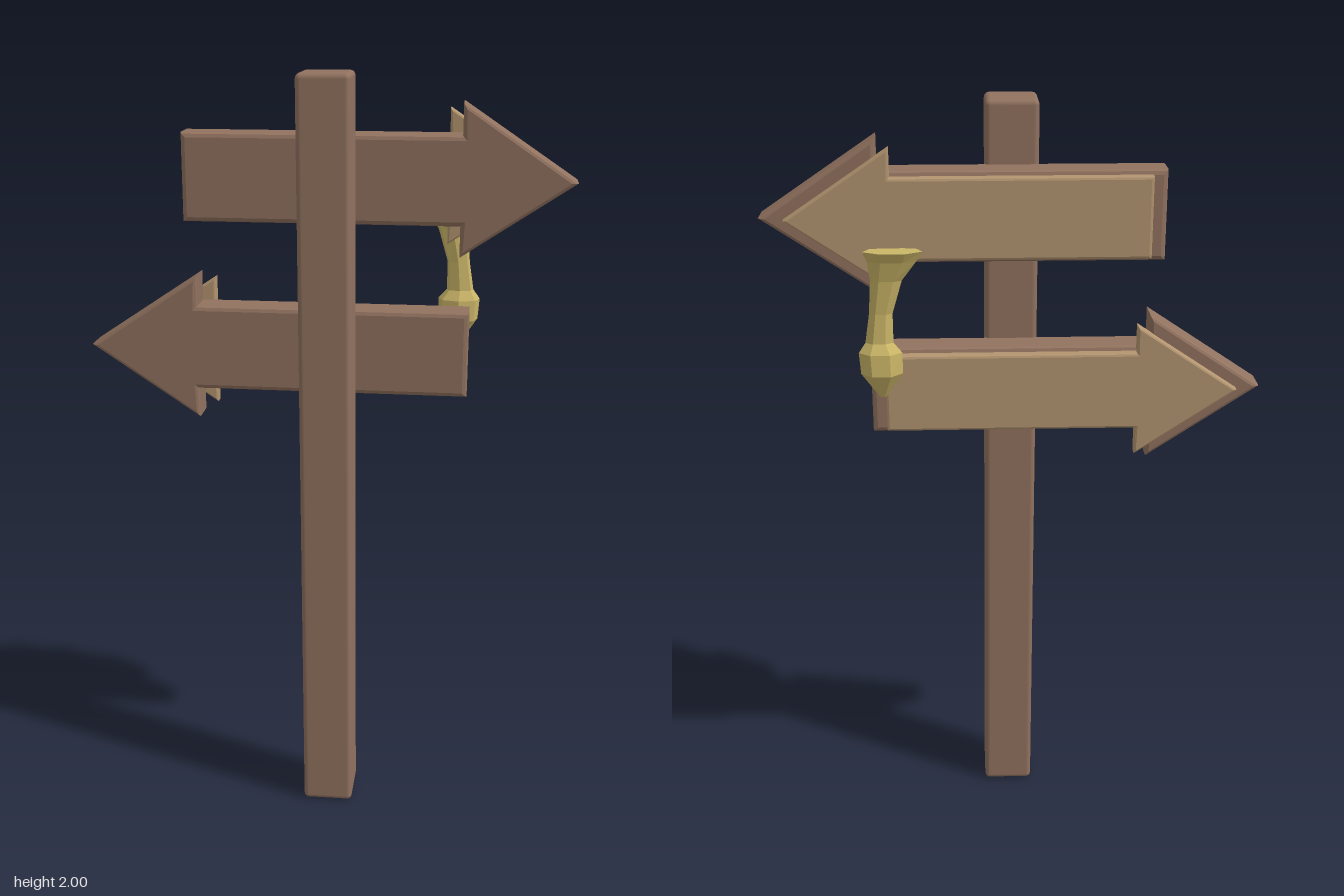
import * as THREE from 'three';
import { RoundedBoxGeometry } from 'three/addons/geometries/RoundedBoxGeometry.js';

const material = (name, color) => {
  const m = new THREE.MeshStandardMaterial({ color });
  m.name = name;
  return m;
};

// Bevelled arrow slab pointing +x (dir 1) or -x (dir -1), centred on z = 0
function arrowGeometry(dir, scale, depth, bevel) {
  let points = [
    [-0.372, -0.113], [0.342, -0.113], [0.342, -0.193], [0.632, 0],
    [0.342, 0.193], [0.342, 0.113], [-0.372, 0.113],
  ].map(([x, y]) => new THREE.Vector2(x * dir * scale, y * scale));
  if (dir < 0) points = points.reverse();
  const geo = new THREE.ExtrudeGeometry(new THREE.Shape(points), {
    depth: depth - 2 * bevel, bevelEnabled: true, bevelSize: bevel,
    bevelThickness: bevel, bevelOffset: -bevel, bevelSegments: 2,
  });
  geo.translate(0, 0, -(depth - 2 * bevel) / 2);
  return geo;
}

// Faceted loft through elliptical rings [y, centreX, centreZ, radiusX, radiusZ], top to bottom
function loftGeometry(rings, sides) {
  const rows = rings.length - 1;
  const geo = new THREE.CylinderGeometry(1, 1, rows, sides, rows);
  const p = geo.attributes.position;
  for (let i = 0; i < p.count; i++) {
    const [y, cx, cz, rx, rz] = rings[Math.round(rows / 2 - p.getY(i))];
    p.setXYZ(i, cx + p.getX(i) * rx, y, cz + p.getZ(i) * rz);
  }
  const flat = geo.toNonIndexed();
  flat.computeVertexNormals();
  return flat;
}

export function createModel() {
  const model = new THREE.Group();
  model.name = 'signpost';
  const wood = material('brown wood', 0x91725f);
  const paleWood = material('pale wood', 0xb39570);
  const gold = material('dull gold', 0xcbb668);

  const add = (parent, name, geo, mat) => {
    const mesh = new THREE.Mesh(geo, mat);
    mesh.name = name;
    parent.add(mesh);
    return mesh;
  };

  // Post, leaning very slightly
  const post = add(model, 'post', new RoundedBoxGeometry(0.135, 1.995, 0.145, 2, 0.014), wood);
  post.position.set(0.014, 1.0, 0.084);
  post.rotation.set(-0.004, 0, 0.0075);

  // Two arrow boards, each with a smaller pale panel on its back
  for (const [name, dir, y] of [['upperSign', 1, 1.728], ['lowerSign', -1, 1.279]]) {
    const sign = new THREE.Group();
    sign.name = name;
    sign.position.y = y;
    model.add(sign);
    add(sign, 'arrowBoard', arrowGeometry(dir, 1, 0.098, 0.012), wood).position.z = -0.024;
    add(sign, 'backPanel', arrowGeometry(dir, 0.9, 0.04, 0.007), paleWood).position.z = -0.08;
  }

  // Hanging ornament: flared top, thin neck, faceted bulb
  add(model, 'hangingOrnament', loftGeometry([
    [1.66, 0.303, -0.128, 0.075, 0.034],
    [1.635, 0.306, -0.124, 0.062, 0.026],
    [1.585, 0.322, -0.118, 0.04, 0.02],
    [1.5, 0.338, -0.114, 0.03, 0.018],
    [1.425, 0.344, -0.115, 0.036, 0.022],
    [1.4, 0.342, -0.116, 0.056, 0.038],
    [1.345, 0.34, -0.116, 0.054, 0.042],
    [1.28, 0.34, -0.115, 0.008, 0.006],
  ], 7), gold);

  return model;
}
